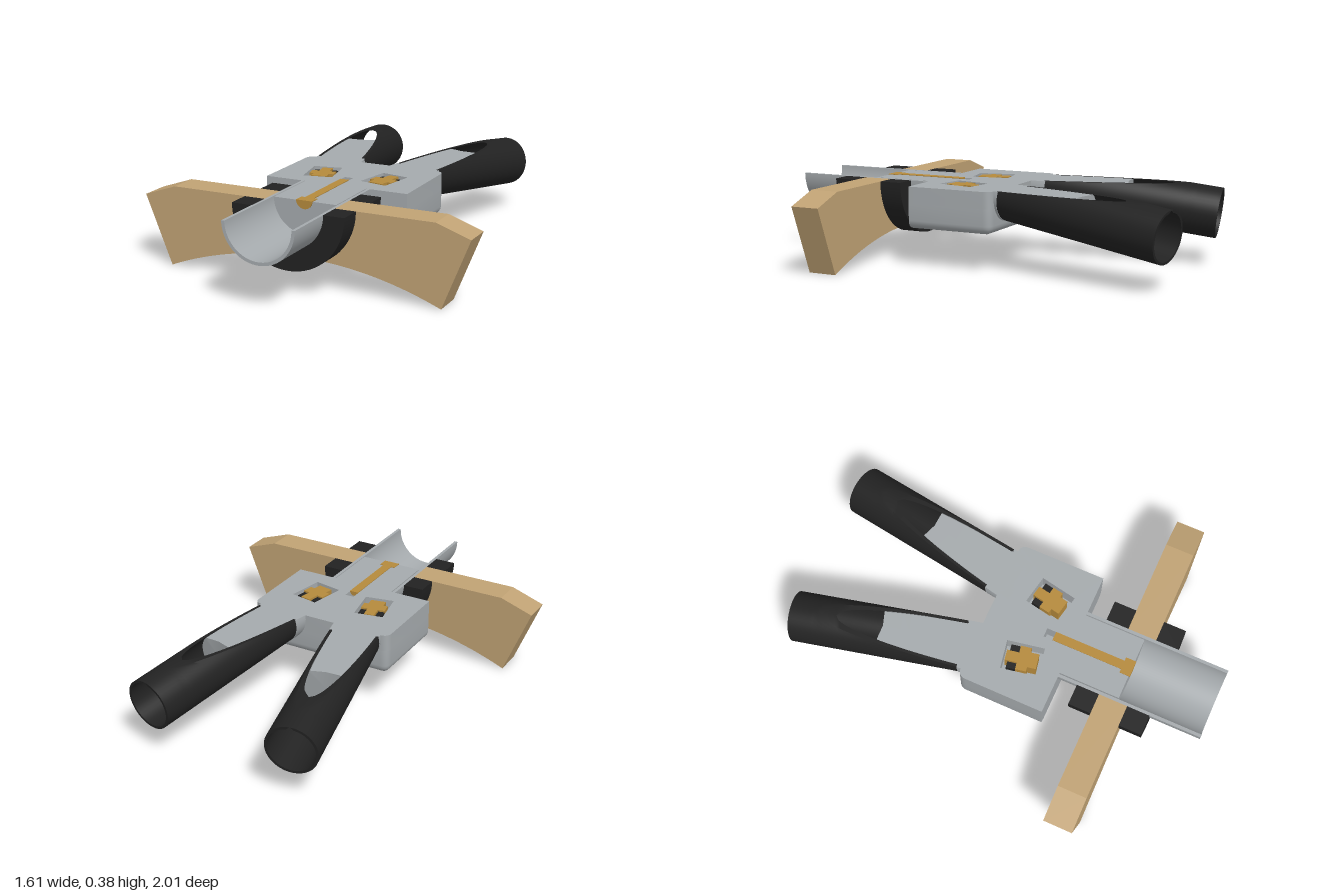
import * as THREE from 'three';
import { toCreasedNormals } from 'three/addons/utils/BufferGeometryUtils.js';

const Y = 0.385; // height of the flat section plane
const material = (name, color) => Object.assign(new THREE.MeshStandardMaterial({ color }), { name });

// Tube (or solid rod when rIn is 0) from p0 to p1, sliced flat at height top
function slicedTube(p0, p1, rOut, rIn, top = Y, stations = 1, n = 40) {
  const d = p1.clone().sub(p0).normalize();
  const right = new THREE.Vector3().crossVectors(d, new THREE.Vector3(0, 1, 0)).normalize();
  const up = new THREE.Vector3().crossVectors(right, d);
  const pos = [], index = [], m = 2 * (n + 1);
  for (let j = 0; j <= stations; j++) {
    const c = p0.clone().lerp(p1, j / stations);
    const arc = (r) => {
      const s = r > 0 ? (top - c.y) / (r * up.y) : 1;
      const a = Math.asin(THREE.MathUtils.clamp(s, -1, 1));
      return Array.from({ length: n + 1 }, (_, i) => {
        const t = a - (Math.PI + 2 * a) * i / n;
        return c.clone().addScaledVector(right, r * Math.cos(t)).addScaledVector(up, r * Math.sin(t));
      });
    };
    const outer = arc(rOut), inner = arc(rIn);
    inner[0].y = inner[n].y = outer[0].y; // keeps the cut face flat
    for (const p of [...outer, ...inner.reverse()]) pos.push(p.x, p.y, p.z);
  }
  const quad = (a, b, c, e) => index.push(a, b, c, a, c, e);
  for (let j = 0; j < stations; j++)
    for (let i = 0; i < m; i++) {
      const k = (i + 1) % m;
      quad(j * m + i, j * m + k, (j + 1) * m + k, (j + 1) * m + i);
    }
  const e = stations * m;
  for (let i = 0; i < n; i++) {
    quad(e + i, e + i + 1, e + m - 2 - i, e + m - 1 - i);
    quad(m - 1 - i, m - 2 - i, i + 1, i);
  }
  const g = new THREE.BufferGeometry();
  g.setAttribute('position', new THREE.Float32BufferAttribute(pos, 3));
  g.setIndex(index);
  return toCreasedNormals(g, 0.6);
}

// Plan outline of the body with rounded rear corners (shape y is world z)
function bodyOutline(front) {
  const w = 0.36, back = -0.13, r = 0.04, s = new THREE.Shape();
  s.moveTo(-w, front);
  s.lineTo(-w, back + r);
  s.quadraticCurveTo(-w, back, -w + r, back);
  s.lineTo(w - r, back);
  s.quadraticCurveTo(w, back, w, back + r);
  s.lineTo(w, front);
  s.closePath();
  return s;
}

export function createModel() {
  const model = new THREE.Group();
  const grey = material('grey metal', 0xa5aaad);
  const black = material('black rubber', 0x222222);
  const wood = material('tan wood', 0xc0a274);
  const brass = material('brass', 0xb58a3c);
  const add = (name, geometry, mat, parent = model) => {
    const mesh = new THREE.Mesh(geometry, mat);
    mesh.name = name;
    parent.add(mesh);
    return mesh;
  };
  const onAxis = (z, y = Y) => new THREE.Vector3(0, y, z);
  const turn = 0.187, pocketX = 0.16, pocketZ = 0.11, depth = 0.08;

  // Upper body with two angled pockets and a screw slot
  const plate = bodyOutline(0.295);
  for (const s of [-1, 1]) {
    const c = Math.cos(-s * turn), k = Math.sin(-s * turn);
    plate.holes.push(new THREE.Path([[-1, -1], [1, -1], [1, 1], [-1, 1]].map(([a, b]) => {
      const x = a * 0.07, z = b * 0.09;
      return new THREE.Vector2(s * pocketX + x * c + z * k, pocketZ - x * k + z * c);
    })));
  }
  plate.holes.push(new THREE.Path([[-0.022, 0.155], [0.022, 0.155], [0.022, 0.29], [-0.022, 0.29]]
    .map(([x, z]) => new THREE.Vector2(x, z))));
  const upper = new THREE.ExtrudeGeometry(plate, { depth, bevelEnabled: false, curveSegments: 6 });
  upper.rotateX(Math.PI / 2).translate(0, Y, 0);
  add('bodyTop', toCreasedNormals(upper, 0.6), grey);

  // Lower body, rounded underneath at the sides and rear, square at the front
  const lower = new THREE.ExtrudeGeometry(bodyOutline(0.335), {
    depth: 0.08, bevelThickness: 0.04, bevelSize: 0.04, bevelOffset: -0.04, bevelSegments: 5, curveSegments: 6,
  });
  lower.rotateX(Math.PI / 2).translate(0, Y - depth, 0);
  const p = lower.attributes.position;
  for (let i = 0; i < p.count; i++) {
    p.setY(i, Math.min(p.getY(i), Y - depth));
    p.setZ(i, Math.min(p.getZ(i), 0.295));
  }
  add('bodyBase', toCreasedNormals(lower, 0.6), grey);

  // Barrel, its core and the screw
  add('barrel', slicedTube(onAxis(0.29), onAxis(1), 0.175, 0.16), grey);
  add('barrelCore', slicedTube(onAxis(0.29), onAxis(0.59), 0.155, 0), grey);
  const ys = Y + 0.003;
  add('screwShaft', slicedTube(onAxis(0.2, ys), onAxis(0.56, ys), 0.022, 0, ys, 1, 16), brass);
  add('screwHead', slicedTube(onAxis(0.545, ys), onAxis(0.596, ys), 0.04, 0, ys, 1, 20), brass);

  // Collars either side of the wooden bow
  for (const [a, b] of [[0.39, 0.5], [0.64, 0.75]])
    add('collar', slicedTube(onAxis(a), onAxis(b), 0.275, 0.175), black);

  // Wooden bow with an arched underside
  const bow = new THREE.Shape(), R = 1.755, cy = 0.14 - R, edge = Math.atan2(0.005 - cy, 0.675);
  bow.moveTo(0.175, Y);
  bow.absarc(0, Y, 0.175, 0, -Math.PI, true);
  bow.lineTo(-0.645, Y);
  bow.lineTo(-0.805, 0.33);
  bow.absarc(0, cy, R, Math.PI - edge, edge, true);
  bow.lineTo(0.805, 0.33);
  bow.lineTo(0.645, Y);
  bow.closePath();
  const bowGeometry = new THREE.ExtrudeGeometry(bow, { depth: 0.14, bevelEnabled: false, curveSegments: 32 });
  add('bow', toCreasedNormals(bowGeometry.translate(0, 0, 0.5), 0.3), wood);

  for (const s of [-1, 1]) {
    const side = s > 0 ? 'left' : 'right';

    // Splayed handle: neck, inner core and black grip
    const at = (z) => new THREE.Vector3(s * (0.2 - (z + 0.13) * 0.194), 0.36 + (z + 0.13) * 0.1325, z);
    add(side + 'Neck', slicedTube(at(-0.08), at(-0.17), 0.123, 0, Y, 2), grey);
    add(side + 'HandleCore', slicedTube(at(-0.05), at(-0.55), 0.107, 0, Y, 12), grey);
    add(side + 'Grip', slicedTube(at(-0.165), at(-0.978), 0.121, 0.109, Y, 48), black);

    // Latch inside the pocket
    const latch = new THREE.Group();
    latch.name = side + 'Latch';
    latch.position.set(s * pocketX, Y - depth / 2, pocketZ);
    latch.rotation.y = -s * turn;
    model.add(latch);
    const block = (name, w, l, x, z, h, mat) =>
      add(name, new THREE.BoxGeometry(w, h, l), mat, latch).position.set(x, (h - depth) / 2, z);
    block('latchStem', 0.05, 0.06, 0, -0.05, 0.078, brass);
    block('latchBar', 0.118, 0.052, 0, 0.004, 0.078, brass);
    block('latchFoot', 0.074, 0.042, 0, 0.05, 0.078, brass);
    for (const x of [-0.043, 0.043]) block('latchPad', 0.03, 0.045, x, -0.044, 0.07, black);
  }
  return model;
}
